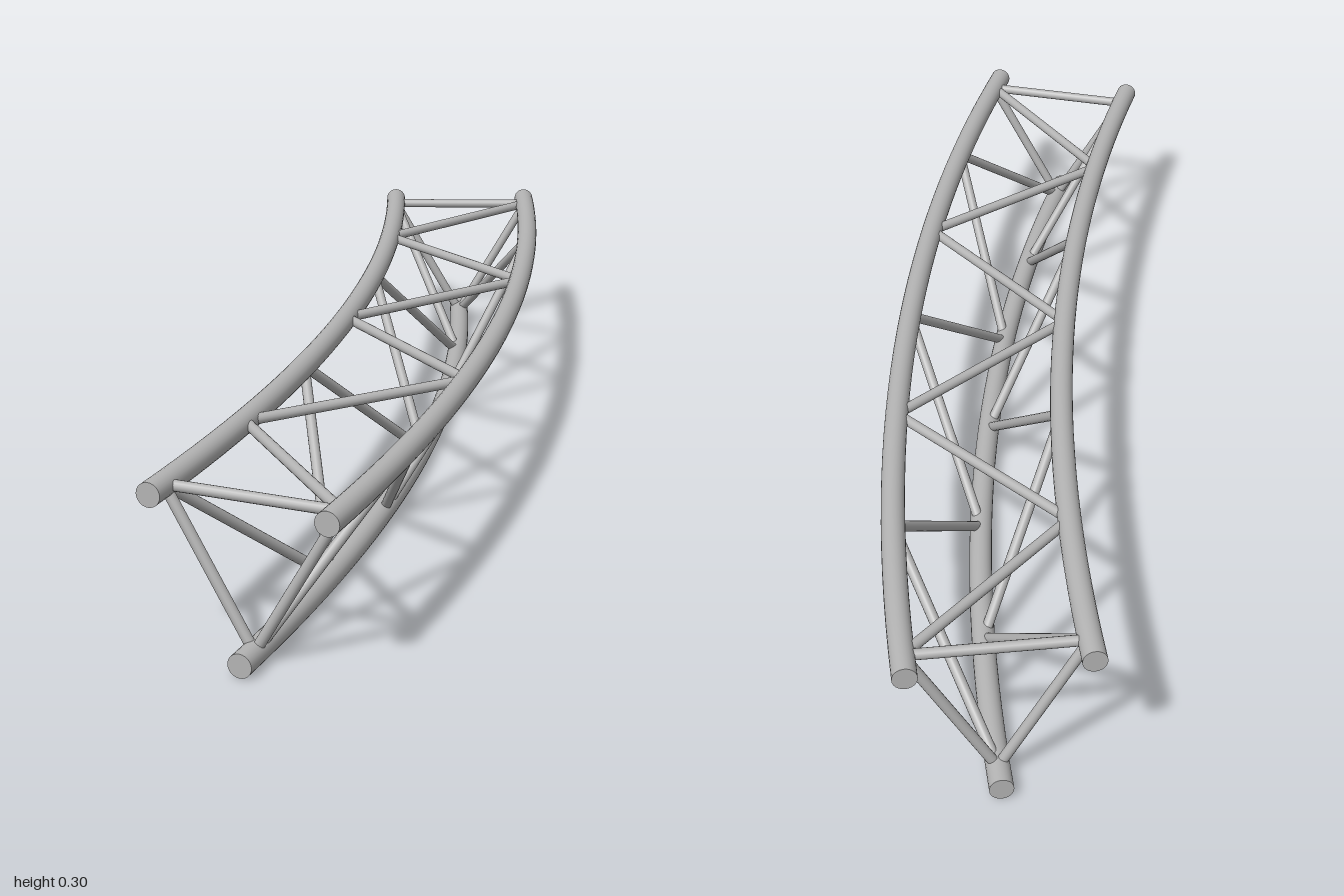
import * as THREE from 'three';

// Curved triangular truss: three concentric arc tubes joined by zigzag braces
const ARC = Math.PI / 8;
const CENTER_X = -4.873, CENTER_Z = 1;
const CHORD_RADIUS = 0.0205, BRACE_RADIUS = 0.0093;
const CHORDS = {
  inner: { r: 4.91, y: 0.278 },
  outer: { r: 5.206, y: 0.278 },
  bottom: { r: 5.058, y: 0.0215 },
};
const PANELS = 6, FIRST = 0.0105, LAST = ARC - 0.0105;

export function createModel() {
  const model = new THREE.Group();
  model.name = 'curvedTruss';
  const metal = new THREE.MeshStandardMaterial({ color: 0xb4b4b4 });
  metal.name = 'aluminium grey';

  const add = (parent, geometry, name) => {
    const mesh = new THREE.Mesh(geometry, metal);
    mesh.name = name;
    parent.add(mesh);
    return mesh;
  };

  // Point on a chord at one of the evenly spaced brace nodes
  const node = (chord, i) => {
    const { r, y } = CHORDS[chord];
    const a = FIRST + (LAST - FIRST) * i / PANELS;
    return new THREE.Vector3(CENTER_X + r * Math.cos(a), y, CENTER_Z - r * Math.sin(a));
  };

  // Straight round bar between two points
  const brace = (parent, a, b, name) => {
    const geometry = new THREE.CylinderGeometry(BRACE_RADIUS, BRACE_RADIUS, a.distanceTo(b), 16);
    const mesh = add(parent, geometry, name);
    mesh.position.copy(a).add(b).multiplyScalar(0.5);
    mesh.quaternion.setFromUnitVectors(new THREE.Vector3(0, 1, 0), b.clone().sub(a).normalize());
  };

  // Main chords with flat end caps
  for (const [name, { r, y }] of Object.entries(CHORDS)) {
    const chord = new THREE.Group();
    chord.name = name + 'Chord';
    chord.position.set(CENTER_X, y, CENTER_Z);
    add(chord, new THREE.TorusGeometry(r, CHORD_RADIUS, 24, 32, ARC).rotateX(-Math.PI / 2), name + 'Tube');
    const cap = new THREE.CircleGeometry(CHORD_RADIUS, 24);
    add(chord, cap.clone().translate(r, 0, 0), name + 'FrontCap');
    add(chord, cap.clone().rotateY(Math.PI).translate(r, 0, 0).rotateY(ARC), name + 'BackCap');
    model.add(chord);
  }

  // Zigzag on each face, plus a cross bar at both ends
  const faces = [
    ['topBraces', 'outer', 'inner'],
    ['innerBraces', 'inner', 'bottom'],
    ['outerBraces', 'bottom', 'outer'],
  ];
  for (const [name, even, odd] of faces) {
    const face = new THREE.Group();
    face.name = name;
    for (let i = 0; i < PANELS; i++) {
      const [from, to] = i % 2 ? [odd, even] : [even, odd];
      brace(face, node(from, i), node(to, i + 1), 'diagonalBrace');
    }
    for (const i of [0, PANELS]) brace(face, node(even, i), node(odd, i), 'endBrace');
    model.add(face);
  }
  return model;
}
